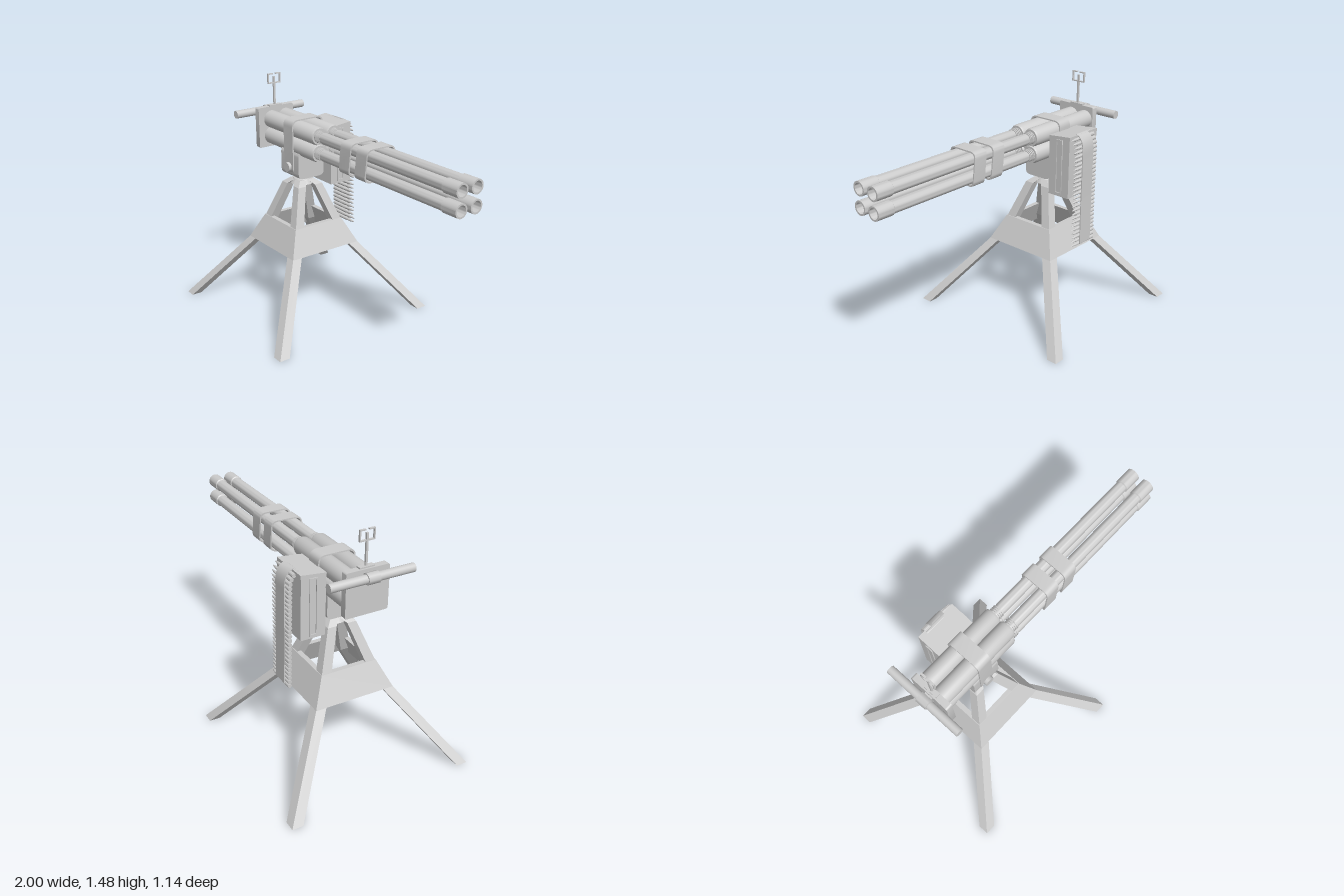
import * as THREE from 'three';
import { toCreasedNormals } from 'three/addons/utils/BufferGeometryUtils.js';

const CX = -0.43;   // tripod axis in x
const GY = 1.135;   // barrel cluster centre
const GZ = -0.017;
const OFF = 0.053;  // barrel spacing from the cluster centre

export function createModel() {
  const model = new THREE.Group();
  const grey = new THREE.MeshStandardMaterial({ color: 0xcccccc, side: THREE.DoubleSide });

  const add = (name, geo, parent = model) => {
    const mesh = new THREE.Mesh(geo, grey);
    mesh.name = name;
    parent.add(mesh);
    return mesh;
  };
  const group = (name) => {
    const g = new THREE.Group();
    g.name = name;
    model.add(g);
    return g;
  };
  // Box given by its limits on each axis
  const box = (name, x0, x1, y0, y1, z0, z1, parent) =>
    add(name, new THREE.BoxGeometry(x1 - x0, y1 - y0, z1 - z0)
      .translate((x0 + x1) / 2, (y0 + y1) / 2, (z0 + z1) / 2), parent);
  // Cylinder along z
  const rodZ = (name, r, x, y, z0, z1, parent, sides = 24) =>
    add(name, new THREE.CylinderGeometry(r, r, z1 - z0, sides).rotateX(Math.PI / 2)
      .translate(x, y, (z0 + z1) / 2), parent);
  // Lathe along x, profile given as [radius, x]
  const latheX = (pts, segments = 28) => toCreasedNormals(
    new THREE.LatheGeometry(pts.map(([r, x]) => new THREE.Vector2(r, x)), segments), 0.6)
    .rotateZ(-Math.PI / 2);
  // Outline in (-z, y), extruded along x
  const extrudeX = (shape, x0, x1) => toCreasedNormals(
    new THREE.ExtrudeGeometry(shape, { depth: x1 - x0, bevelEnabled: false, curveSegments: 8 })
      .rotateY(Math.PI / 2).translate(x0, 0, 0), 0.6);
  const roundRect = (u0, v0, u1, v1, r, C = THREE.Shape) => {
    const s = new C();
    s.moveTo(u0 + r, v0);
    s.lineTo(u1 - r, v0); s.quadraticCurveTo(u1, v0, u1, v0 + r);
    s.lineTo(u1, v1 - r); s.quadraticCurveTo(u1, v1, u1 - r, v1);
    s.lineTo(u0 + r, v1); s.quadraticCurveTo(u0, v1, u0, v1 - r);
    s.lineTo(u0, v0 + r); s.quadraticCurveTo(u0, v0, u0 + r, v0);
    return s;
  };

  // Tripod: four bent legs, square in plan
  const legs = group('legs');
  const levels = [[0, 0.537, 0.033], [0.5, 0.174, 0.032], [0.83, 0.062, 0.028], [0.86, 0.028, 0.026]];
  for (const sx of [-1, 1]) for (const sz of [-1, 1]) {
    const geo = new THREE.BoxGeometry(1, 1, 1, 1, 3, 1);
    const p = geo.attributes.position;
    for (let i = 0; i < p.count; i++) {
      const [y, d, h] = levels[Math.round((p.getY(i) + 0.5) * 3)];
      p.setXYZ(i, CX + sx * d + p.getX(i) * 2 * h, y, sz * d + p.getZ(i) * 2 * h);
    }
    add('leg', toCreasedNormals(geo, 0.2), legs);
  }

  // Brace: hollow four-sided skirt joining the legs
  const ring = [[0.25, 0.44], [0.175, 0.6], [0.145, 0.6], [0.222, 0.44], [0.25, 0.44]]
    .map(([h, y]) => new THREE.Vector2(h * Math.SQRT2, y));
  add('legBrace', toCreasedNormals(new THREE.LatheGeometry(ring, 4, Math.PI / 4), 0.2).translate(CX, 0, 0));

  // Swivel neck
  add('hub', new THREE.CylinderGeometry(0.055, 0.075, 0.03, 24).translate(CX, 0.848, 0));
  add('neck', new THREE.CylinderGeometry(0.026, 0.026, 0.09, 16).translate(CX, 0.87, 0));
  add('neckNut', new THREE.CylinderGeometry(0.032, 0.032, 0.022, 6).translate(CX, 0.833, 0));

  // Cradle and pivot pin
  add('cradle', extrudeX(roundRect(-0.09, 0.885, 0.1, 1.06, 0.035), -0.525, -0.335));
  const pivot = group('pivot');
  rodZ('pivotPin', 0.022, CX, 0.95, -0.285, 0.11, pivot);
  rodZ('pivotHead', 0.03, CX, 0.95, 0.09, 0.116, pivot);
  rodZ('pivotEnd', 0.03, CX, 0.95, -0.293, -0.275, pivot);
  rodZ('pivotWasher', 0.036, CX, 0.95, -0.125, -0.095, pivot);

  // Receiver tubes and barrels
  const receiver = group('receiver');
  const barrels = group('barrels');
  const barrelProfile = [[0.033, -0.2]];
  for (let x = -0.188; x < -0.15; x += 0.012)
    barrelProfile.push([0.038, x], [0.038, x + 0.007], [0.033, x + 0.007], [0.033, x + 0.012]);
  barrelProfile.push([0.035, -0.13], [0.035, 0.89], [0.041, 0.895], [0.041, 1], [0.031, 1], [0.031, 0.8], [0, 0.8]);
  for (const sy of [-1, 1]) for (const sz of [-1, 1]) {
    const y = GY + sy * OFF, z = GZ + sz * OFF;
    add('receiverTube', latheX([[0, -0.715], [0.055, -0.715], [0.055, -0.2], [0.05, -0.188], [0, -0.188]])
      .translate(0, y, z), receiver);
    add('barrel', latheX(barrelProfile).translate(0, y, z), barrels);
  }
  box('receiverCore', -0.71, -0.2, GY - 0.04, GY + 0.04, GZ - 0.04, GZ + 0.04, receiver);

  // Strap over the receiver, reaching down to the pivot
  const strap = roundRect(-0.097, 0.9, 0.133, 1.252, 0.045);
  strap.holes.push(roundRect(-0.089, 0.908, 0.125, 1.244, 0.04, THREE.Path));
  add('receiverStrap', extrudeX(strap, -0.48, -0.385));

  // Two slanted straps wrapped around the barrels
  for (const x0 of [0.085, 0.23]) {
    const s = roundRect(-GZ - 0.1, GY - 0.1, -GZ + 0.1, GY + 0.1, 0.04);
    s.holes.push(roundRect(-GZ - 0.092, GY - 0.092, -GZ + 0.092, GY + 0.092, 0.036, THREE.Path));
    const geo = extrudeX(s, x0, x0 + 0.09);
    const p = geo.attributes.position;
    for (let i = 0; i < p.count; i++) {
      const drop = (GY + 0.1 - p.getY(i)) / 0.2;
      p.setX(i, p.getX(i) - 0.025 * drop * (p.getZ(i) - GZ) / 0.1);
    }
    geo.computeVertexNormals();
    add('barrelStrap', toCreasedNormals(geo, 0.6));
  }

  // Back plate and handlebar
  add('backPlate', extrudeX(roundRect(-0.13, 1.008, 0.13, 1.268, 0.012), -0.75, -0.71));
  const handle = group('handle');
  rodZ('handleBar', 0.025, -0.785, 1.232, -0.253, 0.253, handle);
  rodZ('handleCollar', 0.033, -0.785, 1.232, -0.035, 0.035, handle, 8);
  box('handleMount', -0.78, -0.745, 1.215, 1.25, -0.025, 0.025, handle);

  // Rear sight: post with a split frame
  const sight = group('sight');
  const sx0 = -0.731, sx1 = -0.719;
  box('sightBase', -0.74, -0.71, 1.262, 1.276, -0.045, 0.045, sight);
  box('sightPost', sx0, sx1, 1.268, 1.455, -0.006, 0.006, sight);
  box('sightFrameBottom', sx0, sx1, 1.411, 1.418, -0.046, 0.046, sight);
  for (const s of [-1, 1]) {
    const span = (a, b) => [Math.min(s * a, s * b), Math.max(s * a, s * b)];
    box('sightFrameSide', sx0, sx1, 1.411, 1.476, ...span(0.039, 0.046), sight);
    box('sightFrameTop', sx0, sx1, 1.469, 1.476, ...span(0.01, 0.046), sight);
  }

  // Ammunition box with ribs on both ends
  const ammo = group('ammoBox');
  box('ammoBoxBody', -0.555, -0.295, 0.822, 1.19, -0.278, -0.128, ammo);
  const rib = roundRect(0.177, 0.835, 0.228, 1.18, 0.004);
  rib.holes.push(roundRect(0.187, 0.847, 0.218, 1.168, 0.003, THREE.Path));
  for (const x of [-0.561, -0.297]) add('ammoBoxRib', extrudeX(rib, x, x + 0.008), ammo);
  const lid = new THREE.Shape([[0.125, 1.185], [0.28, 1.185], [0.28, 1.208], [0.125, 1.192]]
    .map(([u, v]) => new THREE.Vector2(u, v)));
  add('ammoBoxLid', extrudeX(lid, -0.555, -0.295), ammo);

  // Cartridge belt hanging behind the box
  const belt = group('ammoBelt');
  const path = new THREE.CatmullRomCurve3([[1.197, -0.265], [1.188, -0.29], [1.15, -0.308], [1.05, -0.312],
    [0.8, -0.313], [0.52, -0.316]].map(([y, z]) => new THREE.Vector3(0, y, z)));
  const count = 28;
  const round = latheX([[0, -0.505], [0.012, -0.505], [0.012, -0.385], [0.009, -0.37], [0.009, -0.34],
    [0.005, -0.31], [0, -0.295]], 10);
  for (let i = 0; i < count; i++) {
    const p = path.getPointAt(i / (count - 1));
    add('cartridge', round, belt).position.copy(p);
  }
  // Flat webbing strip on the outside of the cartridges
  const strip = new THREE.Shape();
  const pts = path.getSpacedPoints(30);
  const edge = (d) => pts.map((p, i) => {
    const t = path.getTangentAt(i / 30);
    return new THREE.Vector2(-p.z - d * -t.y, p.y + d * -t.z * -1);
  });
  strip.setFromPoints([...edge(-0.009), ...edge(-0.015).reverse()]);
  add('beltStrip', extrudeX(strip, -0.465, -0.365), belt);

  return model;
}
